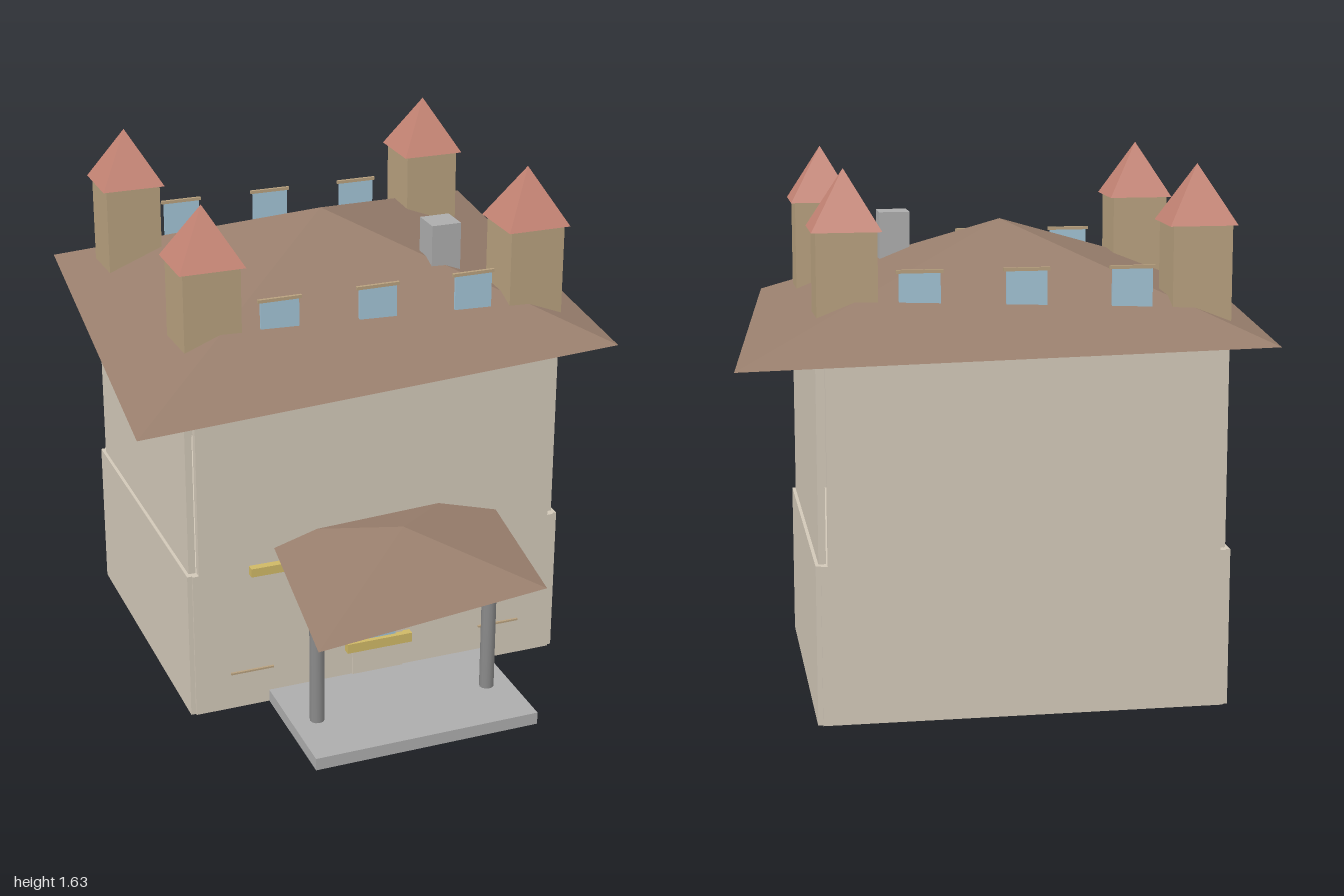
import * as THREE from 'three';

const material = (name, color) => {
  const m = new THREE.MeshStandardMaterial({ color });
  m.name = name;
  return m;
};

export function createModel() {
  const wall = material('plaster', 0xd2c8b8);
  const roof = material('brownRoof', 0x997f6d);
  const tan = material('tanStone', 0xb8a17f);
  const red = material('redRoof', 0xc58474);
  const glass = material('paleBlueGlass', 0xa2c3d5);
  const gold = material('yellowTrim', 0xcfb866);
  const grey = material('greyStone', 0xadadad);
  const steel = material('greyColumn', 0x8a8a8a);

  const group = new THREE.Group();
  group.name = 'house';

  const add = (name, geometry, mat) => {
    const mesh = new THREE.Mesh(geometry, mat);
    mesh.name = name;
    group.add(mesh);
    return mesh;
  };
  // Box given by its lower and upper limits on each axis
  const box = (name, mat, x0, x1, y0, y1, z0, z1) =>
    add(name, new THREE.BoxGeometry(x1 - x0, y1 - y0, z1 - z0), mat)
      .position.set((x0 + x1) / 2, (y0 + y1) / 2, (z0 + z1) / 2);

  // Four-sided roof; p and q are the half-diagonals of its rhombic plan
  const pyramid = (name, mat, x, y, z, p, q, height) => {
    const a = [-p, 0, p], b = [q, 0, q], c = [p, 0, -p], d = [-q, 0, -q], top = [0, height, 0];
    const faces = [a, b, top, b, c, top, c, d, top, d, a, top, a, d, c, a, c, b];
    const g = new THREE.BufferGeometry();
    g.setAttribute('position', new THREE.Float32BufferAttribute(faces.flat(), 3));
    g.computeVertexNormals();
    add(name, g, mat).position.set(x, y, z);
  };

  // Ground storey
  box('groundFloor', tan, -0.605, 0.605, 0.005, 0.02, -0.63, 0.345);
  box('lowerFrontWall', wall, -0.605, 0.605, 0, 0.485, 0.34, 0.36);
  box('lowerBackWall', wall, -0.605, 0.605, 0, 0.485, -0.645, -0.625);
  box('upperFloor', wall, -0.605, 0.605, 0.465, 0.484, -0.63, 0.345);

  // Upper storey, with narrow slots at the back corners
  box('upperFrontWall', wall, -0.585, 0.585, 0.485, 1.13, 0.335, 0.36);
  box('upperBackWall', wall, -0.585, 0.585, 0.485, 1.13, -0.652, -0.634);

  for (const s of [-1, 1]) {
    const side = (name, x0, x1, ...rest) =>
      box(name, wall, Math.min(s * x0, s * x1), Math.max(s * x0, s * x1), ...rest);
    side('lowerSideWall', 0.605, 0.62, 0, 0.485, -0.638, 0.353);
    side('upperSideWall', 0.588, 0.61, 0.485, 1.13, -0.615, 0.335);
  }

  pyramid('mainRoof', roof, 0, 1.13, -0.145, 0.855, 0.70, 0.303);

  // Corner towers
  for (const x of [-0.518, 0.518]) {
    for (const z of [0.263, -0.553]) {
      box('tower', tan, x - 0.088, x + 0.088, 1.135, 1.46, z - 0.088, z + 0.088);
      pyramid('towerRoof', red, x, 1.457, z, 0.101, 0.101, 0.173);
    }
  }
  box('chimney', grey, 0.254, 0.35, 1.15, 1.435, 0.058, 0.155);

  // Roof windows, front and back, and panes inside the back wall
  for (const x of [-0.31, 0, 0.31]) {
    for (const z of [0.342, -0.635]) {
      box('roofWindow', glass, x - 0.06, x + 0.06, 1.15, 1.337, z - 0.004, z + 0.004);
      box('roofWindowLintel', tan, x - 0.068, x + 0.068, 1.336, 1.346, z - 0.005, z + 0.005);
    }
    box('backPane', glass, x - 0.06, x + 0.06, 0.91, 1.035, -0.6335, -0.625);
  }

  // Front door with glazed upper half and trim
  box('door', wall, -0.085, 0.085, 0.04, 0.285, 0.36, 0.365);
  box('doorGlass', glass, -0.058, 0.058, 0.16, 0.285, 0.365, 0.37);
  box('doorLintel', gold, -0.11, 0.11, 0.285, 0.316, 0.36, 0.385);
  box('doorSill', gold, -0.11, 0.11, 0.13, 0.162, 0.36, 0.385);
  box('wallBand', gold, -0.425, 0.425, 0.463, 0.491, 0.36, 0.385);
  for (const x of [-0.42, 0, 0.42]) {
    box('wallSill', tan, x - 0.07, x + 0.07, 0.122, 0.128, 0.359, 0.367);
  }

  // Porch
  box('porchSlab', grey, -0.365, 0.365, 0, 0.04, 0.36, 0.783);
  box('porchBeam', wall, -0.312, 0.312, 0.485, 0.54, 0.36, 0.797);
  for (const x of [-0.285, 0.285]) {
    add('porchColumn', new THREE.CylinderGeometry(0.023, 0.023, 0.445, 12), steel)
      .position.set(x, 0.2625, 0.577);
  }
  pyramid('porchRoof', roof, 0, 0.537, 0.563, 0.435, 0.325, 0.108);

  return group;
}
